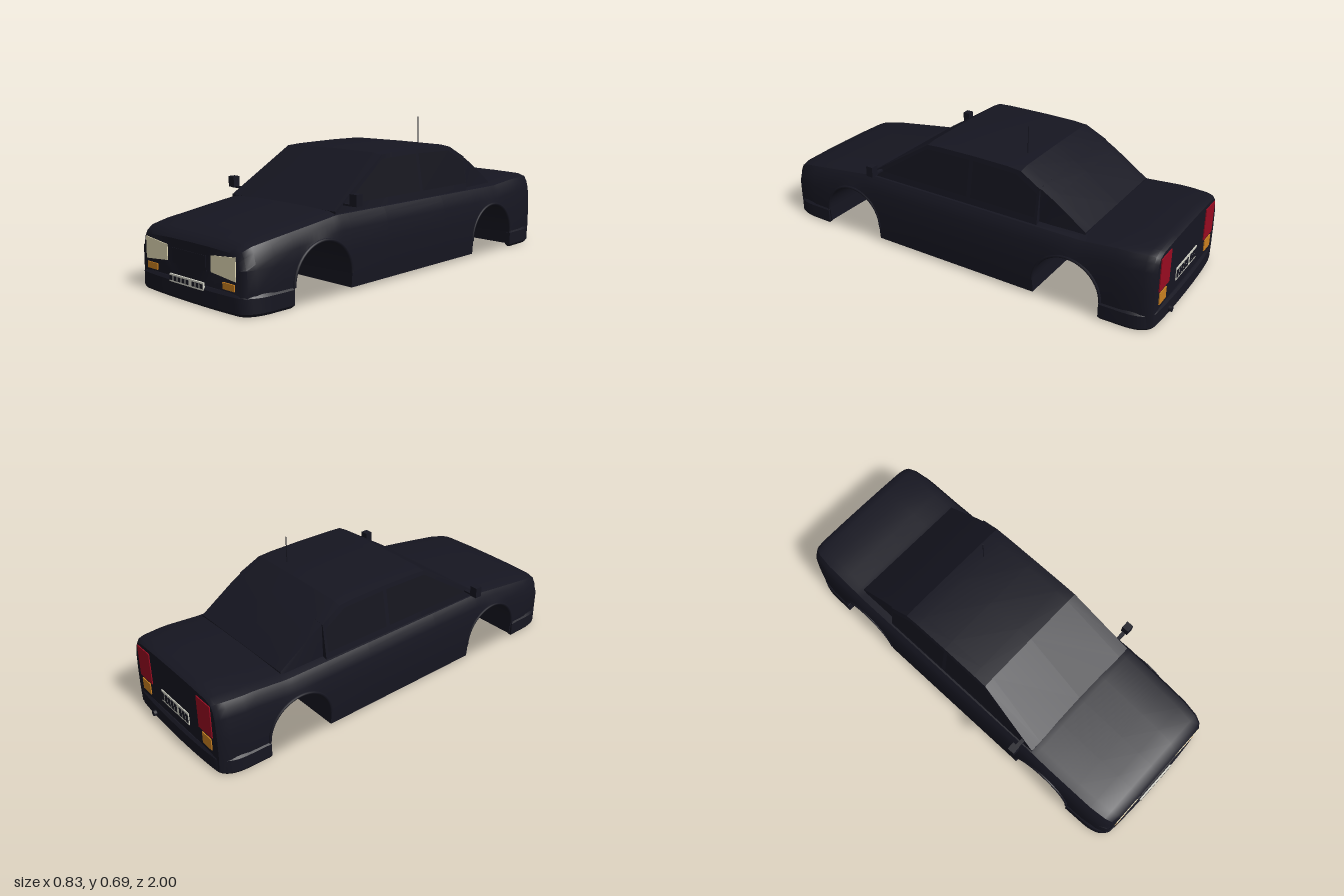
import * as THREE from 'three';
import { toCreasedNormals } from 'three/addons/utils/BufferGeometryUtils.js';

const mat = (name, color, side = THREE.FrontSide) => {
  const m = new THREE.MeshStandardMaterial({ color, side });
  m.name = name;
  return m;
};

// Linear lookup in a table of [z, value], z descending
function lookup(table, z) {
  for (let i = 1; i < table.length; i++) {
    const [z0, a] = table[i - 1], [z1, b] = table[i];
    if (z >= z1) return a + (b - a) * Math.min(1, Math.max(0, (z0 - z) / (z0 - z1)));
  }
  return table[table.length - 1][1];
}

// Skin mirrored cross-sections, front to back; each half runs bottom centre -> top centre
function loft(sections, crease) {
  const pos = [], idx = [];
  const n = 2 * sections[0].half.length - 2;
  for (const { z, half } of sections) {
    const mirror = half.slice(1, -1).reverse().map(([x, y]) => [-x, y]);
    for (const [x, y] of [...half, ...mirror]) pos.push(x, y, z);
  }
  for (let i = 0; i < sections.length - 1; i++)
    for (let j = 0; j < n; j++) {
      const k = (j + 1) % n;
      const a = i * n + j, b = i * n + k, c = b + n, d = a + n;
      idx.push(a, d, c, a, c, b);
    }
  const last = (sections.length - 1) * n;
  for (let j = 1; j < n - 1; j++) idx.push(0, j, j + 1, last, last + j + 1, last + j);
  const g = new THREE.BufferGeometry();
  g.setAttribute('position', new THREE.Float32BufferAttribute(pos, 3));
  g.setIndex(idx);
  return toCreasedNormals(g, crease);
}

const ARCH_Z = 0.588, ARCH_Y = 0.08, ARCH_R = 0.16, SILL = 0.016;
const TOP = [[0.98, 0.24], [0.965, 0.259], [0.93, 0.277], [0.85, 0.292], [0.49, 0.341],
  [-0.64, 0.341], [-0.8, 0.355], [-0.93, 0.357], [-0.96, 0.354], [-0.975, 0.345]];
const WIDTH = [[0.98, 0.32], [0.965, 0.342], [0.93, 0.356], [0.85, 0.367], [0.6, 0.373],
  [-0.6, 0.373], [-0.85, 0.367], [-0.93, 0.356], [-0.96, 0.345], [-0.975, 0.33]];

function bodySection(z, bottom) {
  const s = lookup(TOP, z), w = lookup(WIDTH, z);
  return { z, half: [
    [0, bottom], [w * 0.985, bottom], [w, Math.max(bottom, 0.09)], [w, Math.max(bottom, 0.18)],
    [w * 0.985, Math.max(bottom, s - 0.075)], [w * 0.955, s - 0.035], [w * 0.915, s - 0.012],
    [w * 0.8, s], [w * 0.4, s + 0.004], [0, s + 0.005]] };
}

// Stations across one wheel opening, cut right through the body
function archSections(c) {
  const out = [bodySection(c + ARCH_R, SILL)];
  for (let i = 0; i <= 20; i++) {
    const a = Math.PI * i / 20;
    out.push(bodySection(c + ARCH_R * Math.cos(a), ARCH_Y + ARCH_R * Math.sin(a)));
  }
  out.push(bodySection(c - ARCH_R, SILL));
  return out;
}

// Cabin side leans inward with height
const cabinX = y => 0.335 - 0.035 * (y - 0.345) / 0.205;

export function createModel() {
  const car = new THREE.Group();
  car.name = 'car';
  const paint = mat('darkPaint', 0x161621);
  const glass = mat('tintedGlass', 0x14141d, THREE.DoubleSide);
  const lamp = mat('headlightCream', 0xe2d9b5);
  const amber = mat('amber', 0xca8020);
  const red = mat('tailRed', 0x980a20);
  const white = mat('plateWhite', 0xd0d0c4);

  const add = (name, geo, material, x = 0, y = 0, z = 0) => {
    const m = new THREE.Mesh(geo, material);
    m.name = name;
    m.position.set(x, y, z);
    car.add(m);
    return m;
  };
  const box = (name, w, h, d, x, y, z, material) =>
    add(name, new THREE.BoxGeometry(w, h, d), material, x, y, z);
  const polygon = pts => new THREE.Shape(pts.map(p => new THREE.Vector2(...p)));

  // Lower body with wheel openings
  const plain = z => bodySection(z, SILL);
  add('body', loft([
    ...[0.98, 0.965, 0.93, 0.85].map(plain), ...archSections(ARCH_Z),
    ...[0.2, -0.2].map(plain), ...archSections(-ARCH_Z),
    ...[-0.8, -0.85, -0.93, -0.96, -0.975].map(plain)], 0.6), paint);

  // Flat underside, facing down only
  add('floorPan', new THREE.PlaneGeometry(0.71, 1.9).rotateX(Math.PI / 2), paint, 0, 0.012, 0);

  // Cabin: [z, edge height, crown, narrowed]; the sides step in behind the rear windows
  const roof = [[0.49, 0.342, 0], [0.17, 0.548, 0.009], [0.1, 0.552, 0.01], [-0.08, 0.554, 0.01],
    [-0.25, 0.552, 0.01], [-0.32, 0.546, 0.009], [-0.42, 0.492, 0.006], [-0.42, 0.492, 0.006, true],
    [-0.48, 0.457, 0.005, true], [-0.64, 0.348, 0, true]];
  add('cabin', loft(roof.map(([z, y, crown, narrowed]) => {
    const base = narrowed ? 0.31 : 0.335, x = narrowed ? 0.304 : cabinX(y);
    return { z, half: [[0, 0.32], [base, 0.32], [x, y], [x * 0.83, y + crown * 0.8], [0, y + crown]] };
  }), 0.35), paint);

  // Side windows lying on the leaning cabin sides
  const windows = {
    frontWindow: [[0.42, 0.365], [0.17, 0.53], [-0.06, 0.535], [-0.06, 0.365]],
    rearWindow: [[-0.08, 0.365], [-0.08, 0.535], [-0.3, 0.53], [-0.41, 0.47], [-0.41, 0.365]],
  };
  for (const side of [1, -1]) {
    for (const [name, pts] of Object.entries(windows)) {
      const g = new THREE.ShapeGeometry(polygon(pts));
      const p = g.attributes.position;
      for (let i = 0; i < p.count; i++) {
        const z = p.getX(i), y = p.getY(i);
        p.setXYZ(i, side * (cabinX(y) + 0.003), y, z);
      }
      if (side > 0) g.setIndex([...g.index.array].reverse());
      g.computeVertexNormals();
      add(name, g, glass);
    }
    // Wheel arch lips
    for (const z of [ARCH_Z, -ARCH_Z]) {
      const lip = add('archLip', new THREE.TorusGeometry(ARCH_R + 0.004, 0.007, 6, 24, Math.PI),
        paint, side * 0.37, ARCH_Y, z);
      lip.rotation.y = Math.PI / 2;
    }
    // Door mirrors
    box('mirrorStem', 0.075, 0.008, 0.018, side * 0.36, 0.366, 0.43, paint);
    box('mirrorHousing', 0.038, 0.05, 0.035, side * 0.395, 0.39, 0.43, paint);
  }

  // Bumpers: rounded bands wrapping each end
  const bumper = new THREE.Shape();
  bumper.moveTo(0.345, 0.755);
  bumper.lineTo(0.374, 0.755);
  bumper.lineTo(0.372, 0.87);
  bumper.quadraticCurveTo(0.368, 0.965, 0.31, 0.985);
  bumper.quadraticCurveTo(0.2, 0.997, 0, 0.997);
  bumper.quadraticCurveTo(-0.2, 0.997, -0.31, 0.985);
  bumper.quadraticCurveTo(-0.368, 0.965, -0.372, 0.87);
  bumper.lineTo(-0.374, 0.755);
  bumper.lineTo(-0.345, 0.755);
  bumper.lineTo(-0.343, 0.87);
  bumper.quadraticCurveTo(-0.338, 0.94, -0.29, 0.955);
  bumper.lineTo(0.29, 0.955);
  bumper.quadraticCurveTo(0.338, 0.94, 0.343, 0.87);
  const bumperGeo = new THREE.ExtrudeGeometry(bumper, { depth: 0.061, bevelThickness: 0.012,
    bevelSize: 0.009, bevelOffset: -0.009, bevelSegments: 1, curveSegments: 8 });
  bumperGeo.rotateX(Math.PI / 2).translate(0, 0.073, 0);
  const bumperSmooth = toCreasedNormals(bumperGeo, 0.5);
  add('frontBumper', bumperSmooth, paint);
  add('rearBumper', bumperSmooth, paint, 0, 0, 0.008).rotation.y = Math.PI;

  // Lamps and grille
  for (const s of [1, -1]) {
    const pts = [[0.145, 0.147], [0.295, 0.133], [0.295, 0.228], [0.145, 0.213]].map(([x, y]) => [s * x, y]);
    add('headlight', new THREE.ExtrudeGeometry(polygon(pts), { depth: 0.008, bevelEnabled: false }),
      lamp, 0, 0, 0.976);
    box('frontIndicator', 0.07, 0.027, 0.009, s * 0.252, 0.107, 0.981, amber);
    box('tailLight', 0.102, 0.155, 0.009, s * 0.246, 0.25, -0.975, red);
    box('rearIndicator', 0.068, 0.056, 0.009, s * 0.252, 0.133, -0.975, amber);
  }
  box('grille', 0.222, 0.063, 0.008, 0, 0.174, 0.978, paint);

  // Number plates with plain dark blocks
  box('frontPlate', 0.226, 0.033, 0.008, -0.001, 0.084, 0.994, white);
  box('rearPlate', 0.226, 0.06, 0.008, 0, 0.16, -0.975, white);
  for (const x of [-0.102, -0.073, -0.047, -0.02, 0.007, 0.047, 0.073, 0.099]) {
    box('frontPlateBlock', 0.019, 0.019, 0.004, x, 0.084, 0.9975, paint);
    box('rearPlateBlock', 0.019, 0.04, 0.004, -x, 0.16, -0.979, paint);
  }

  // Tailpipe and aerial
  add('tailpipe', new THREE.CylinderGeometry(0.013, 0.013, 0.08, 12).rotateX(Math.PI / 2),
    paint, 0.18, 0.032, -0.96);
  add('aerial', new THREE.CylinderGeometry(0.0025, 0.0025, 0.13, 6), paint, 0.15, 0.62, -0.265);
  return car;
}
